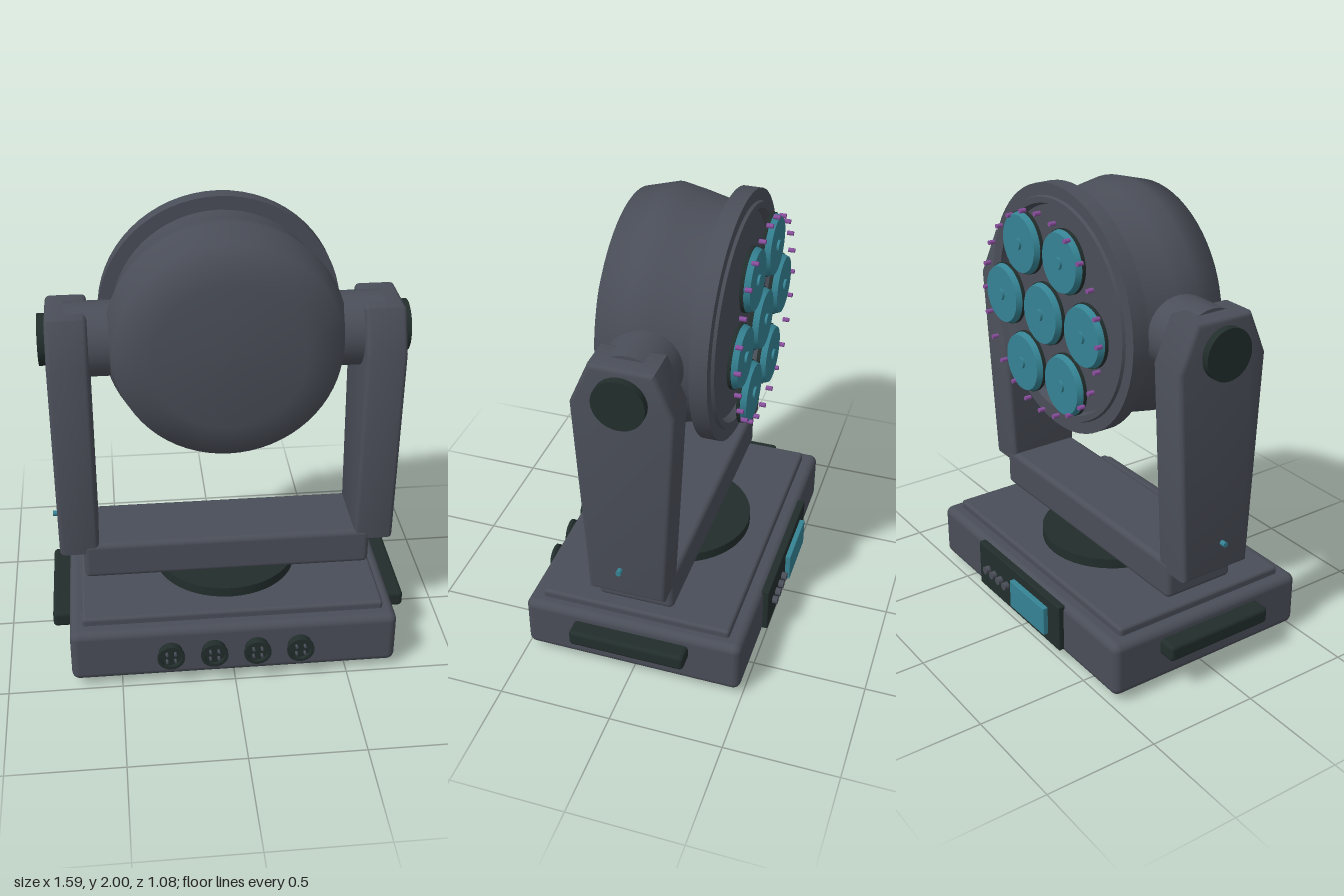
import * as THREE from 'three';
import { toCreasedNormals } from 'three/addons/utils/BufferGeometryUtils.js';
import { RoundedBoxGeometry } from 'three/addons/geometries/RoundedBoxGeometry.js';

const material = (name, color) => {
  const m = new THREE.MeshStandardMaterial({ color });
  m.name = name;
  return m;
};

export function createModel() {
  const model = new THREE.Group();
  model.name = 'movingHeadLight';
  const grey = material('housing grey', 0x4a4e58);
  const dark = material('dark rubber', 0x222e2c);
  const teal = material('teal glass', 0x358394);
  const purple = material('purple diode', 0x8a4f9e);

  const add = (name, geo, mat, x = 0, y = 0, z = 0, parent = model) => {
    const mesh = new THREE.Mesh(geo, mat);
    mesh.name = name;
    mesh.position.set(x, y, z);
    parent.add(mesh);
    return mesh;
  };
  const box = (w, h, d, r) => new RoundedBoxGeometry(w, h, d, 3, r);
  const discY = (r, h, n = 32) => new THREE.CylinderGeometry(r, r, h, n);
  const discX = (r, h, n = 32) => discY(r, h, n).rotateZ(Math.PI / 2);
  const discZ = (r, h, n = 32) => discY(r, h, n).rotateX(Math.PI / 2);
  // Profile of [radius, z] pairs spun about the z axis
  const spinZ = (pts, n) => new THREE.LatheGeometry(
    pts.map(([r, z]) => new THREE.Vector2(r, z)), n).rotateX(Math.PI / 2);

  // Base
  add('base', box(1.44, 0.25, 0.98, 0.035), grey, 0, 0.16, 0);
  add('basePlate', box(1.33, 0.08, 0.85, 0.015), grey, 0, 0.28, 0);
  add('turntable', discY(0.32, 0.06, 48), dark, 0, 0.335, 0);
  for (const x of [-0.55, 0.55]) for (const z of [-0.34, 0.34])
    add('foot', discY(0.068, 0.045, 24), dark, x, 0.0225, z);

  // Front sockets: hollow flanged barrel with a recessed face and pins
  const barrel = toCreasedNormals(spinZ([[0.053, 0.48], [0.053, 0.515], [0.06, 0.52],
    [0.06, 0.535], [0.046, 0.535], [0.046, 0.51]], 28), 0.5);
  for (const x of [-0.285, -0.095, 0.095, 0.285]) {
    const socket = new THREE.Group();
    socket.name = 'socket';
    socket.position.set(x, 0.165, 0);
    model.add(socket);
    add('socketBarrel', barrel, dark, 0, 0, 0, socket);
    add('socketFace', discZ(0.047, 0.03, 24), dark, 0, 0, 0.505, socket);
    for (let i = 0; i < 4; i++) {
      const a = Math.PI / 4 + i * Math.PI / 2;
      add('socketPin', discZ(0.006, 0.02, 8), grey,
        0.026 * Math.cos(a), 0.026 * Math.sin(a), 0.528, socket);
    }
  }

  // Rear control panel
  add('controlPanel', box(0.675, 0.22, 0.035, 0.006), dark, 0, 0.17, -0.4975);
  add('screen', box(0.28, 0.135, 0.03, 0.004), teal, -0.11, 0.168, -0.523);
  for (const x of [0.09, 0.145, 0.2, 0.255])
    add('button', discZ(0.018, 0.03, 16), grey, x, 0.17, -0.523);

  // Yoke
  add('yokeBar', box(1.29, 0.175, 0.34, 0.025), grey, 0, 0.4425, 0);
  const bevel = 0.02;
  const side = new THREE.Shape([[-0.147, 0.505], [0.147, 0.505], [0.193, 1.42],
    [0.12, 1.59], [-0.12, 1.59], [-0.193, 1.42]].map(([u, v]) => new THREE.Vector2(u, v)));
  const armGeo = toCreasedNormals(new THREE.ExtrudeGeometry(side, {
    depth: 0.175 - 2 * bevel, bevelThickness: bevel, bevelSize: bevel, bevelSegments: 3,
  }).translate(0, 0, bevel - 0.0875).rotateY(Math.PI / 2), 0.6);
  for (const s of [-1, 1]) {
    add('yokeArm', armGeo, grey, s * 0.6625, 0, 0);
    add('tiltHub', discX(0.16, 0.27), grey, s * 0.535, 1.465, 0);
    add('pivotCap', discX(0.11, 0.06), dark, s * 0.753, 1.47, 0);
    add('armIndicator', discX(0.012, 0.04, 12), teal, s * 0.755, 0.62, 0.025);
    add('carryHandle', box(0.1, 0.075, 0.52, 0.018), dark, s * 0.747, 0.2, 0);
  }

  // Head, tilting on the hubs
  const head = new THREE.Group();
  head.name = 'head';
  head.position.y = 1.47;
  model.add(head);
  add('headShell', spinZ([[0.47, -0.21], [0.47, -0.14], [0.495, -0.03], [0.513, 0.07],
    [0.475, 0.21], [0.32, 0.265], [0, 0.27]], 64), grey, 0, 0, 0, head);
  add('headRim', toCreasedNormals(spinZ([[0, -0.25], [0.44, -0.25], [0.45, -0.285],
    [0.475, -0.285], [0.48, -0.272], [0.53, -0.272], [0.53, -0.198], [0.46, -0.198]], 64), 0.5),
  grey, 0, 0, 0, head);

  // Seven lenses: one in the centre and six around it
  for (let i = 0; i < 7; i++) {
    const a = i * Math.PI / 3, r = i < 6 ? 0.306 : 0;
    const lens = new THREE.Group();
    lens.name = 'lens';
    lens.position.set(r * Math.cos(a), r * Math.sin(a), 0);
    head.add(lens);
    add('lensBezel', discZ(0.134, 0.015, 40), dark, 0, 0, -0.3325, lens);
    add('lensGlass', new THREE.CylinderGeometry(0.131, 0.122, 0.025, 40).rotateX(Math.PI / 2),
      teal, 0, 0, -0.3525, lens);
    add('lensNub', discZ(0.025, 0.012, 16), teal, 0, 0, -0.369, lens);
  }

  // Ring of small diodes
  for (let i = 0; i < 24; i++) {
    const a = i * Math.PI / 12;
    add('diode', discZ(0.01, 0.028, 8), purple,
      0.43 * Math.cos(a), 0.43 * Math.sin(a), -0.366, head);
  }
  return model;
}
